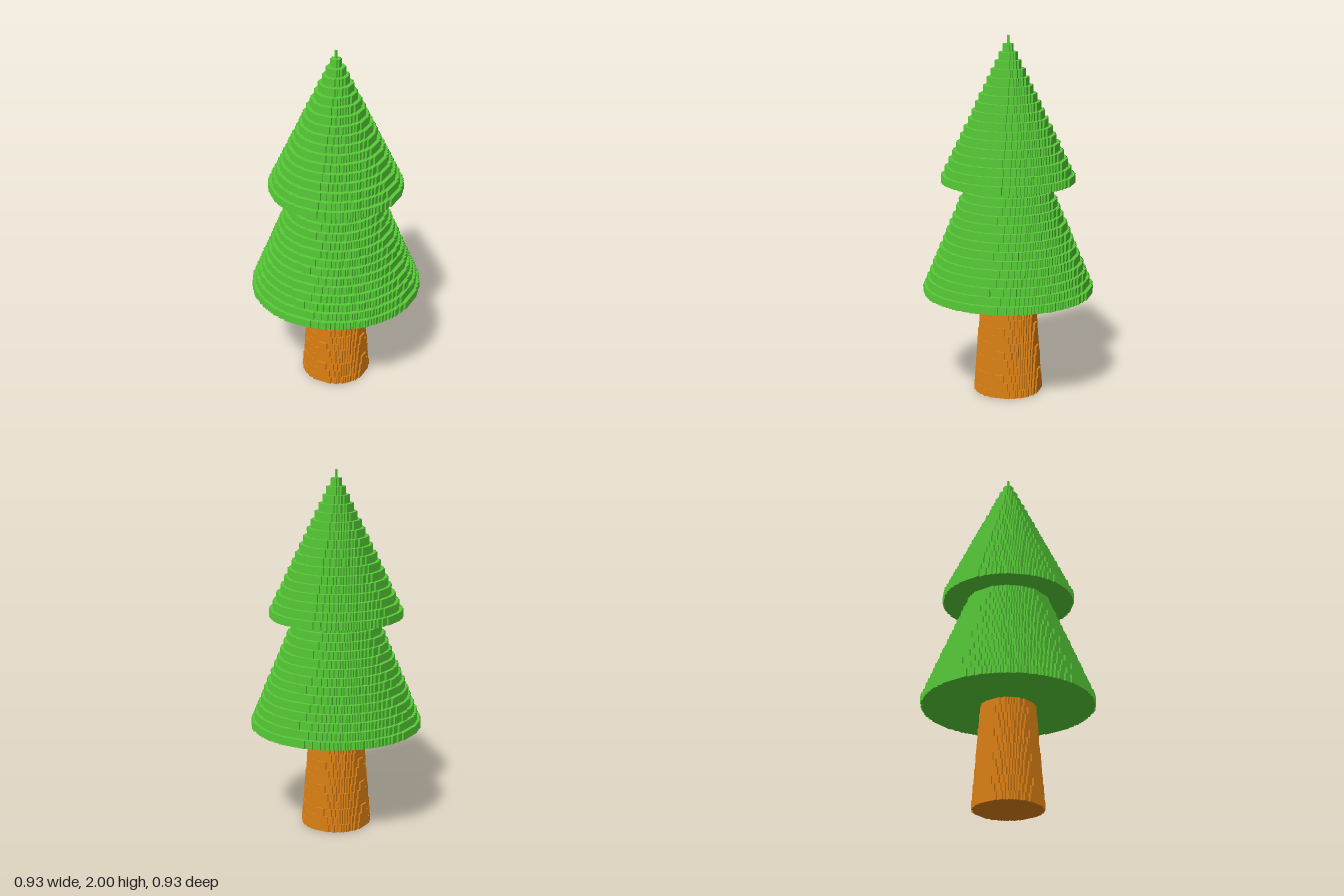
import * as THREE from 'three';
import { mergeGeometries } from 'three/addons/utils/BufferGeometryUtils.js';

const CELL = 0.0105;   // width of one square cell
const ROW = 2 / 45;    // height of one row of cells

// Stepped outline of all cells whose centres lie within radius r (in cells)
function discShape(r) {
  const n = Math.floor(r);
  const half = (x) => (Math.floor(Math.sqrt(r * r - x * x)) + 0.5) * CELL;
  const upper = [];
  for (let x = -n; x <= n; x++) {
    const z = half(x);
    if (x === -n || z !== half(x - 1)) upper.push(new THREE.Vector2((x - 0.5) * CELL, z));
    if (x === n || z !== half(x + 1)) upper.push(new THREE.Vector2((x + 0.5) * CELL, z));
  }
  const lower = upper.map((p) => new THREE.Vector2(p.x, -p.y));
  return new THREE.Shape([...lower, ...upper.reverse()]);
}

// Stack of stepped discs, starting at a given row; radius(i) in cells
function stack(name, color, firstRow, rows, radius) {
  const discs = [];
  for (let i = 0; i < rows; i++) {
    const disc = new THREE.ExtrudeGeometry(discShape(radius(i)), { depth: ROW, bevelEnabled: false });
    disc.rotateX(-Math.PI / 2);
    disc.translate(0, (firstRow + i) * ROW, 0);
    discs.push(disc);
  }
  const material = new THREE.MeshStandardMaterial({ color });
  const mesh = new THREE.Mesh(mergeGeometries(discs), material);
  mesh.name = name;
  return mesh;
}

export function createModel() {
  const tree = new THREE.Group();
  tree.name = 'tree';
  const green = 0x56cb37;
  tree.add(
    stack('trunk', 0xdd8014, 0, 13, (i) => 17.9 - i / 3),
    stack('lowerFoliage', green, 13, 14, (i) => 44.6 - 1.75 * i),
    stack('upperFoliage', green, 27, 18, (i) => 34.6 - 2 * i),
  );
  return tree;
}
